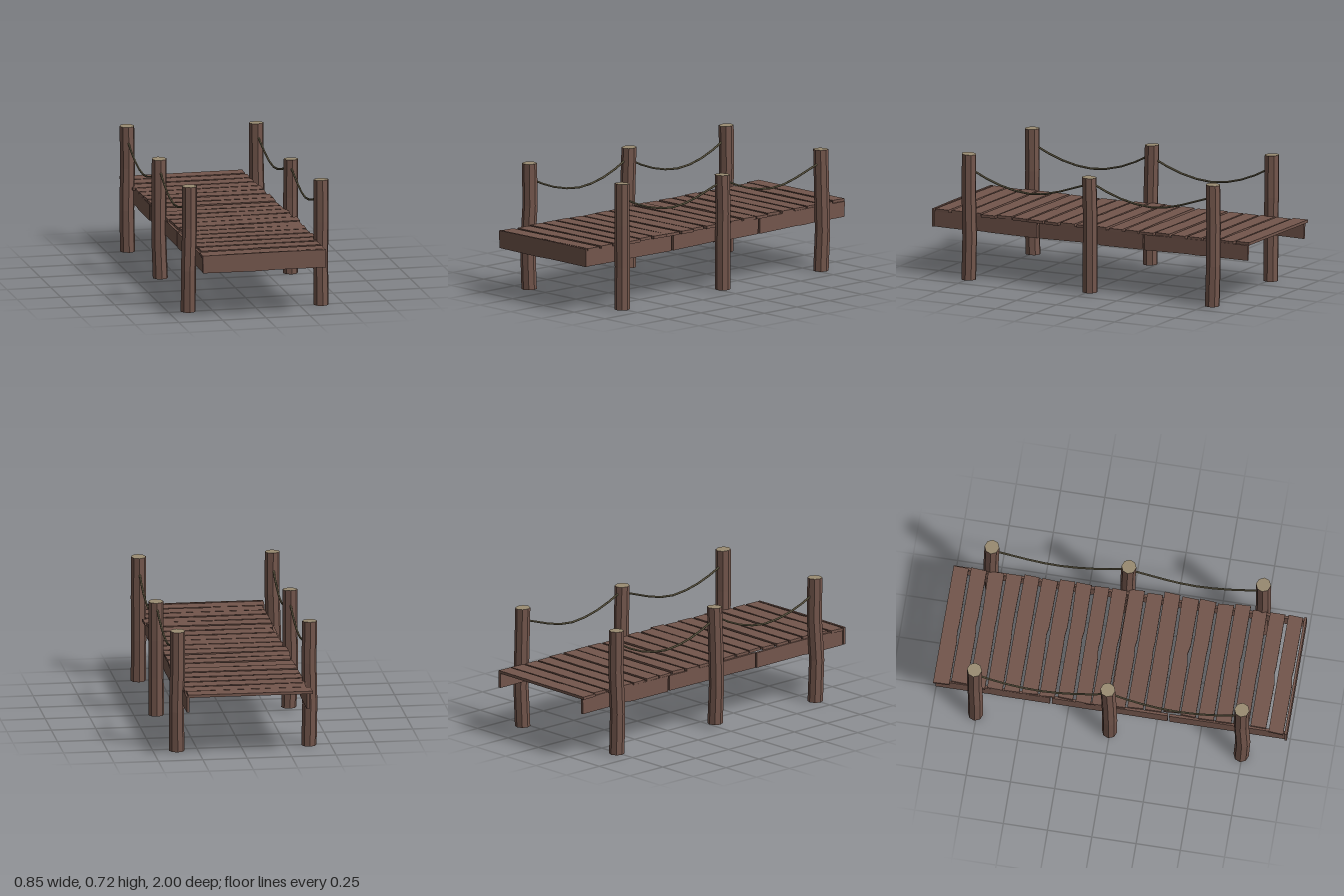
import * as THREE from 'three';

const wood = new THREE.MeshStandardMaterial({ color: 0x73564c, flatShading: true });
const endGrain = new THREE.MeshStandardMaterial({ color: 0x9a8c72, flatShading: true });
const ropeMat = new THREE.MeshStandardMaterial({ color: 0x6e664e, flatShading: true });

// Small seeded generator: values in -1..1
let seed = 7;
const rnd = () => {
  seed = (seed * 16807) % 2147483647;
  return (seed / 2147483647) * 2 - 1;
};

// Worn board lying along x, width along y, thickness along +z, with chipped edges
function boardGeometry(x0, x1, width, thick, wobble) {
  const h = width / 2, mid = (x0 + x1) / 2 + rnd() * 0.03;
  const j = () => rnd() * wobble;
  const shape = new THREE.Shape();
  shape.moveTo(x0 + j(), -h + j());
  shape.lineTo(mid - 0.06, -h + j());
  shape.lineTo(mid, -h + Math.abs(j()) * 2);
  shape.lineTo(mid + 0.05, -h + j());
  shape.lineTo(x1 + j(), -h + j());
  shape.lineTo(x1 + j(), h + j());
  shape.lineTo(mid + 0.1, h + j());
  shape.lineTo(x0 + j(), h + j());
  shape.closePath();
  return new THREE.ExtrudeGeometry(shape, { depth: thick, bevelEnabled: false });
}

function addMesh(parent, name, geometry, material) {
  const mesh = new THREE.Mesh(geometry, material);
  mesh.name = name;
  parent.add(mesh);
  return mesh;
}

// Deck planks, from back to front
function addPlanks(parent) {
  const left = [.37, .345, .36, .35, .35, .35, .35, .345, .355, .355, .345, .34, .34, .33, .34, .34, .345, .345, .34, .36];
  const right = [.33, .335, .33, .335, .34, .335, .35, .345, .34, .34, .35, .345, .365, .355, .355, .345, .36, .34, .34, .34];
  const deck = new THREE.Group();
  deck.name = 'deck';
  left.forEach((l, i) => {
    const plank = addMesh(deck, 'plank', boardGeometry(-l, right[i], 0.087, 0.016, 0.004), wood);
    plank.rotation.set(-Math.PI / 2, rnd() * 0.003, rnd() * 0.006);
    plank.position.set(0, 0.357 + rnd() * 0.002, -0.952 + i * 0.0993);
  });
  parent.add(deck);
}

// Side beams in three lengths, front board and middle cross beam
function addFrame(parent) {
  const frame = new THREE.Group();
  frame.name = 'frame';
  for (const x of [-0.352, 0.324]) {
    for (const z of [-0.664, -0.003, 0.66]) {
      const beam = addMesh(frame, 'sideBeam', boardGeometry(-0.325, 0.325, 0.088, 0.015, 0.003), wood);
      beam.rotation.y = Math.PI / 2;
      beam.position.set(x, 0.314, z);
    }
  }
  const front = addMesh(frame, 'frontBoard', boardGeometry(-0.36, 0.342, 0.103, 0.014, 0.003), wood);
  front.position.set(0, 0.321, 0.984);
  front.rotation.z = -0.006;
  const cross = addMesh(frame, 'crossBeam', boardGeometry(-0.34, 0.33, 0.088, 0.015, 0.003), wood);
  cross.position.set(0, 0.313, -0.01);
  parent.add(frame);
}

// Slightly crooked octagonal post with pale end grain
function addPost(parent, [x, z, bottom, top]) {
  const height = top - bottom;
  const geo = new THREE.CylinderGeometry(0.042, 0.043, height, 8, 3);
  const p = geo.attributes.position;
  const bends = [0, 1, 2, 3].map(() => [rnd() * 0.005, rnd() * 0.006]);
  const tilt = rnd() * 0.06;
  for (let i = 0; i < p.count; i++) {
    const level = Math.round((p.getY(i) / height + 0.5) * 3);
    const [bx, bz] = bends[level];
    if (level === 3) p.setY(i, p.getY(i) - Math.abs(tilt) * 0.042 + p.getZ(i) * tilt);
    p.setX(i, p.getX(i) + bx);
    p.setZ(i, p.getZ(i) + bz);
  }
  geo.computeVertexNormals();
  const post = addMesh(parent, 'post', geo, [wood, endGrain, endGrain]);
  post.position.set(x, bottom + height / 2, z);
}

// Rope sagging between two neighbouring posts
function addRope(parent, a, b, ya, yb) {
  const at = (t, y) => new THREE.Vector3(a[0] + (b[0] - a[0]) * t, y, a[1] + (b[1] - a[1]) * t);
  const curve = new THREE.CatmullRomCurve3([
    at(0.02, ya), at(0.18, 0.572), at(0.34, 0.538), at(0.5, 0.524),
    at(0.66, 0.538), at(0.82, 0.575), at(0.98, yb),
  ]);
  addMesh(parent, 'rope', new THREE.TubeGeometry(curve, 8, 0.006, 6, false), ropeMat);
}

export function createModel() {
  const model = new THREE.Group();
  model.name = 'dock';
  addPlanks(model);
  addFrame(model);

  // Posts per side, front to back: x, z, bottom, top
  const sides = [
    [[-0.383, 0.75, 0, 0.718], [-0.375, -0.005, 0.02, 0.702], [-0.383, -0.76, 0, 0.718]],
    [[0.37, 0.745, 0, 0.718], [0.376, -0.015, 0.005, 0.66], [0.367, -0.785, 0, 0.692]],
  ];
  sides.forEach((posts, s) => {
    const side = new THREE.Group();
    side.name = s ? 'leftRailing' : 'rightRailing';
    posts.forEach((post) => addPost(side, post));
    addRope(side, posts[0], posts[1], 0.625, s ? 0.615 : 0.635);
    addRope(side, posts[1], posts[2], 0.625, s ? 0.615 : 0.635);
    model.add(side);
  });
  return model;
}
